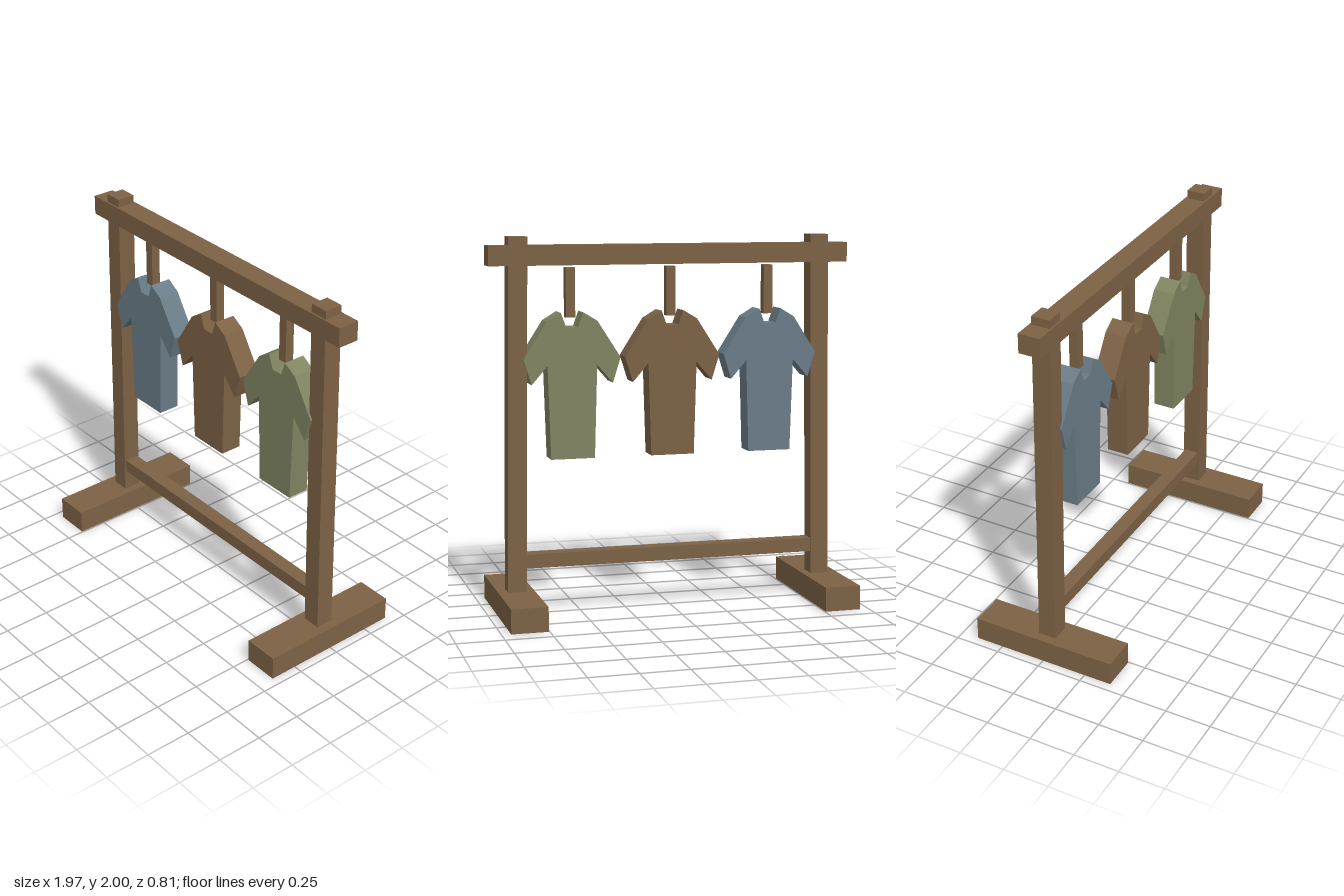
import * as THREE from 'three';

const material = (name, color) => {
  const m = new THREE.MeshStandardMaterial({ color });
  m.name = name;
  return m;
};

export function createModel() {
  const rack = new THREE.Group();
  rack.name = 'clothesRack';
  const wood = material('brown wood', 0x7d6245);
  const blue = material('dusty blue', 0x6a7c87);
  const green = material('sage green', 0x808461);

  const add = (name, geometry, mat, x = 0, y = 0, z = 0) => {
    const mesh = new THREE.Mesh(geometry, mat);
    mesh.name = name;
    mesh.position.set(x, y, z);
    rack.add(mesh);
  };
  const box = (name, w, h, d, x, y) => add(name, new THREE.BoxGeometry(w, h, d), wood, x, y);

  // Feet and posts; each post leans slightly inward
  for (const side of [-1, 1]) {
    const label = side > 0 ? 'left' : 'right';
    box(label + 'Foot', 0.195, 0.13, 0.805, side * 0.853, 0.065);
    const post = new THREE.BoxGeometry(0.1, 1.9, 0.1);
    const p = post.attributes.position;
    for (let i = 0; i < p.count; i++) p.setX(i, p.getX(i) - side * 0.0125 * Math.sign(p.getY(i)));
    post.computeVertexNormals();
    add(label + 'Post', post, wood, side * 0.8375, 1.05);
  }

  // Hanging beam and lower rail
  box('topBeam', 1.965, 0.105, 0.12, 0, 1.903);
  box('lowerRail', 1.62, 0.075, 0.08, 0, 0.29);

  // Shirt outline: half profile from neck to hem, mirrored
  const half = [[0.032, 1.528], [0.06, 1.605], [0.135, 1.56], [0.26, 1.365],
    [0.218, 1.23], [0.133, 1.328], [0.118, 0.833]];
  const outline = [...half, ...half.map(([x, y]) => [-x, y]).reverse()];
  const shirt = new THREE.ExtrudeGeometry(
    new THREE.Shape(outline.map(([x, y]) => new THREE.Vector2(x, y))),
    { depth: 0.12, bevelEnabled: false });
  shirt.translate(0, 0, -0.06);

  // Shirts with their hanger pegs
  [['right', blue], ['middle', wood], ['left', green]].forEach(([label, mat], i) => {
    const x = (i - 1) * 0.545;
    box(label + 'Hanger', 0.05, 0.262, 0.05, x, 1.707);
    add(label + 'Shirt', shirt, mat, x);
  });

  return rack;
}
